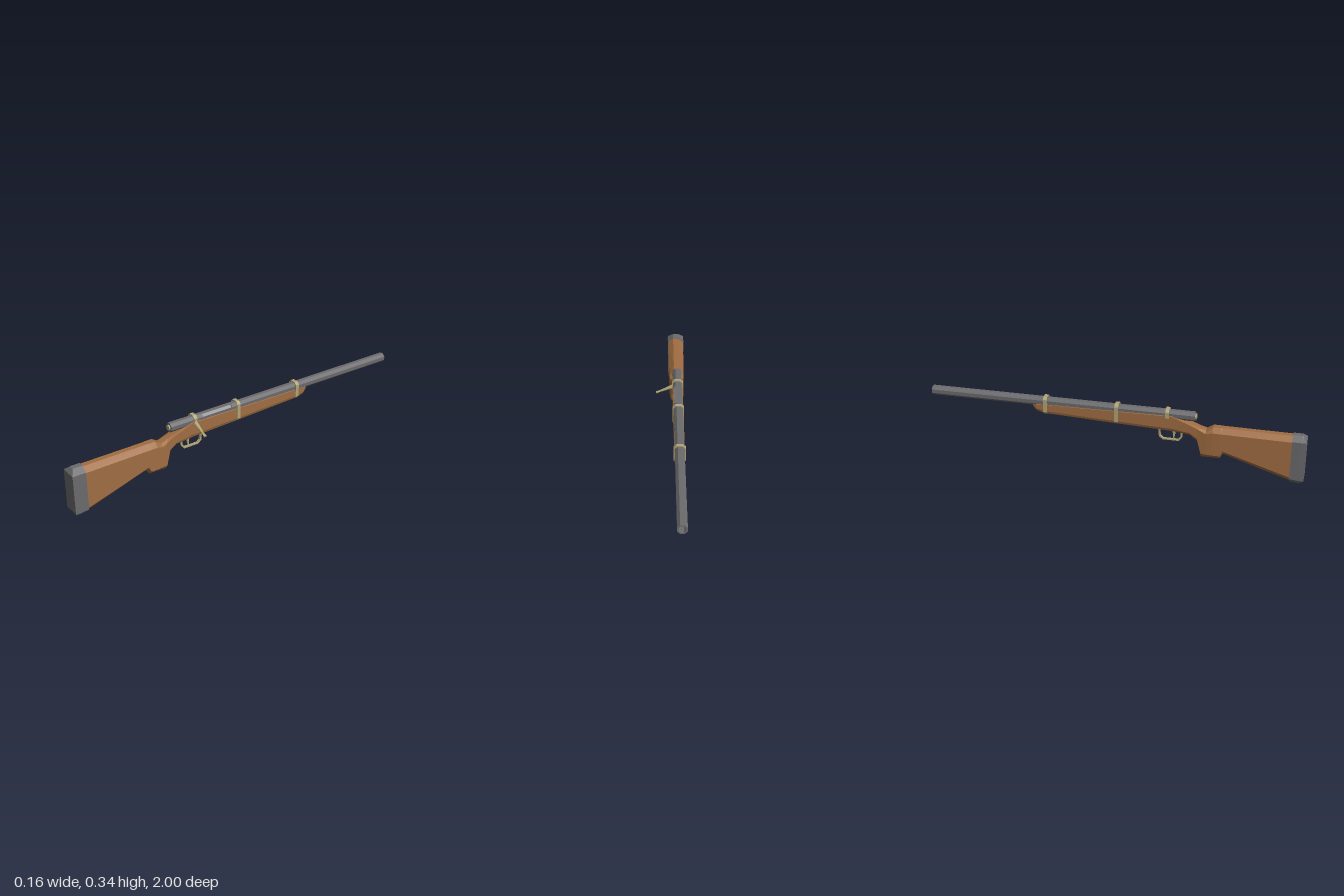
import * as THREE from 'three';

const paint = (color) => new THREE.MeshStandardMaterial({ color, flatShading: true, side: THREE.DoubleSide });
const AXIS_Y = 0.31; // height of the bore line

// Loft of chamfered eight-sided sections: [z, bottom, top, halfWidth, halfFlat, lowChamfer, highChamfer, endTilt]
function loft(sections) {
  const pos = [], idx = [];
  for (const [z, yb, yt, w, f, cb, ct, tilt = 0] of sections) {
    const half = [[f, yb, z - tilt], [w, yb + cb, z], [w, yt - ct, z], [f, yt, z - tilt]];
    for (const p of half) pos.push(...p);
    for (const [x, y, pz] of half.reverse()) pos.push(-x, y, pz);
  }
  for (let s = 0; s < sections.length - 1; s++) {
    for (let i = 0; i < 8; i++) {
      const a = s * 8 + i, b = s * 8 + (i + 1) % 8;
      idx.push(a, a + 8, b + 8, a, b + 8, b);
    }
  }
  const last = (sections.length - 1) * 8;
  for (const [a, b, c, d] of [[0, 1, 6, 7], [1, 2, 5, 6], [2, 3, 4, 5]]) {
    idx.push(a, b, c, a, c, d);
    idx.push(last + a, last + c, last + b, last + a, last + d, last + c);
  }
  const g = new THREE.BufferGeometry();
  g.setAttribute('position', new THREE.Float32BufferAttribute(pos, 3));
  g.setIndex(idx);
  g.computeVertexNormals();
  return g;
}

// Octagonal hollow tube along z
function tube(z0, z1, outer, inner, phi = Math.PI / 8, sides = 8) {
  const profile = [[inner, z0], [outer, z0], [outer, z1], [inner, z1], [inner, z0]].map(([r, z]) => new THREE.Vector2(r, z));
  return new THREE.LatheGeometry(profile, sides, phi, sides * Math.PI / 4).rotateX(Math.PI / 2).translate(0, AXIS_Y, 0);
}

// Chamfered hoop standing across z
function hoop(z, yb, yt, w, wall, depth) {
  const outline = (k) => {
    const c = 0.014 - k * 0.4, x = w - k, b = yb + k, t = yt - k;
    return [[x - c, b], [x, b + c], [x, t - c], [x - c, t], [c - x, t], [-x, t - c], [-x, b + c], [c - x, b]]
      .map(([px, py]) => new THREE.Vector2(px, py));
  };
  const shape = new THREE.Shape(outline(0));
  shape.holes.push(new THREE.Path(outline(wall)));
  return new THREE.ExtrudeGeometry(shape, { depth, bevelEnabled: false }).translate(0, 0, z - depth / 2);
}

// Side profile in (z, y) extruded to a thickness in x
function sidePlate(points, thickness, hole) {
  const v = (list) => list.map(([z, y]) => new THREE.Vector2(-z, y));
  const shape = new THREE.Shape(v(points));
  if (hole) shape.holes.push(new THREE.Path(v(hole)));
  return new THREE.ExtrudeGeometry(shape, { depth: thickness, bevelEnabled: false })
    .translate(0, 0, -thickness / 2).rotateY(Math.PI / 2);
}

export function createModel() {
  const wood = paint(0xa06d42), steel = paint(0x6b6b6d), bright = paint(0x929294), brass = paint(0xb0a476);
  const model = new THREE.Group();
  model.name = 'rifle';
  model.position.x = -0.035;
  const add = (name, geometry, material, parent = model) => {
    const mesh = new THREE.Mesh(geometry, material);
    mesh.name = name;
    parent.add(mesh);
    return mesh;
  };

  // Wooden stock: butt, grip, wrist and fore-end
  add('stock', loft([
    [0.935, 0.01, 0.265, 0.044, 0.015, 0.03, 0.024],
    [0.58, 0.122, 0.267, 0.041, 0.015, 0.025, 0.024],
    [0.565, 0.095, 0.267, 0.041, 0.017, 0.022, 0.024],
    [0.525, 0.095, 0.267, 0.040, 0.017, 0.022, 0.024],
    [0.49, 0.095, 0.246, 0.037, 0.018, 0.022, 0.012],
    [0.468, 0.095, 0.253, 0.034, 0.018, 0.022, 0.01],
    [0.445, 0.18, 0.26, 0.031, 0.016, 0.02, 0.006],
    [0.405, 0.21, 0.274, 0.030, 0.015, 0.016, 0.004],
    [0.31, 0.224, 0.31, 0.028, 0.022, 0.015, 0.003],
    [0, 0.235, 0.306, 0.027, 0.022, 0.014, 0.003],
    [-0.37, 0.25, 0.302, 0.026, 0.022, 0.013, 0.003],
    [-0.415, 0.26, 0.3, 0.025, 0.019, 0.012, 0.003],
    [-0.432, 0.28, 0.298, 0.02, 0.016, 0.008, 0.003],
  ]), wood);

  // Butt plate with bevelled top and bottom
  add('buttPlate', loft([
    [1, 0.005, 0.268, 0.046, 0.015, 0.025, 0.023, 0.018],
    [0.978, 0, 0.27, 0.0465, 0.015, 0.03, 0.025],
    [0.928, 0.005, 0.27, 0.0465, 0.015, 0.03, 0.025],
  ]), steel);

  // Barrel and receiver; the receiver leaves one upper face open as the port
  add('receiverRear', tube(0.43, 0.24, 0.026, 0.016), steel);
  add('receiverPort', tube(0.24, 0.06, 0.026, 0.022, Math.PI * 7 / 8, 7), steel);
  add('barrel', tube(0.06, -1, 0.026, 0.019), steel);
  add('boltBody', new THREE.CylinderGeometry(0.0215, 0.0215, 0.2, 8).rotateY(Math.PI / 8)
    .rotateX(Math.PI / 2).translate(0, AXIS_Y, 0.15), bright);
  add('boltCap', new THREE.CylinderGeometry(0.015, 0.015, 0.1, 10)
    .rotateX(Math.PI / 2).translate(0, AXIS_Y, 0.388), brass);

  // Bands around barrel and fore-end
  add('rearBand', hoop(0.02, 0.231, 0.342, 0.03, 0.005, 0.02), brass);
  add('frontBand', hoop(-0.365, 0.244, 0.342, 0.03, 0.005, 0.02), brass);

  // Bolt handle: collar, tapering arm and knob
  const handle = new THREE.Group();
  handle.name = 'boltHandle';
  model.add(handle);
  add('collar', hoop(0.287, 0.28, 0.342, 0.029, 0.005, 0.02), brass, handle);
  const arm = new THREE.Group();
  arm.name = 'arm';
  arm.position.set(0.022, 0.302, 0.287);
  arm.rotation.z = -Math.PI / 2 - 0.39;
  handle.add(arm);
  add('lever', new THREE.CylinderGeometry(0.006, 0.012, 0.075, 8).translate(0, 0.0375, 0), brass, arm);
  add('knob', new THREE.CylinderGeometry(0.0065, 0.0095, 0.028, 8).rotateX(Math.PI).translate(0, 0.086, 0).scale(0.6, 1, 1), brass, arm);

  // Trigger guard and trigger
  add('triggerGuard', sidePlate(
    [[0.365, 0.222], [0.366, 0.187], [0.348, 0.163], [0.262, 0.163], [0.243, 0.18], [0.238, 0.228]], 0.014,
    [[0.356, 0.216], [0.357, 0.19], [0.344, 0.17], [0.266, 0.17], [0.251, 0.184], [0.247, 0.222]]), brass);
  add('trigger', sidePlate(
    [[0.305, 0.228], [0.318, 0.2], [0.316, 0.172], [0.322, 0.17], [0.328, 0.2], [0.322, 0.228]], 0.009), brass);

  return model;
}
